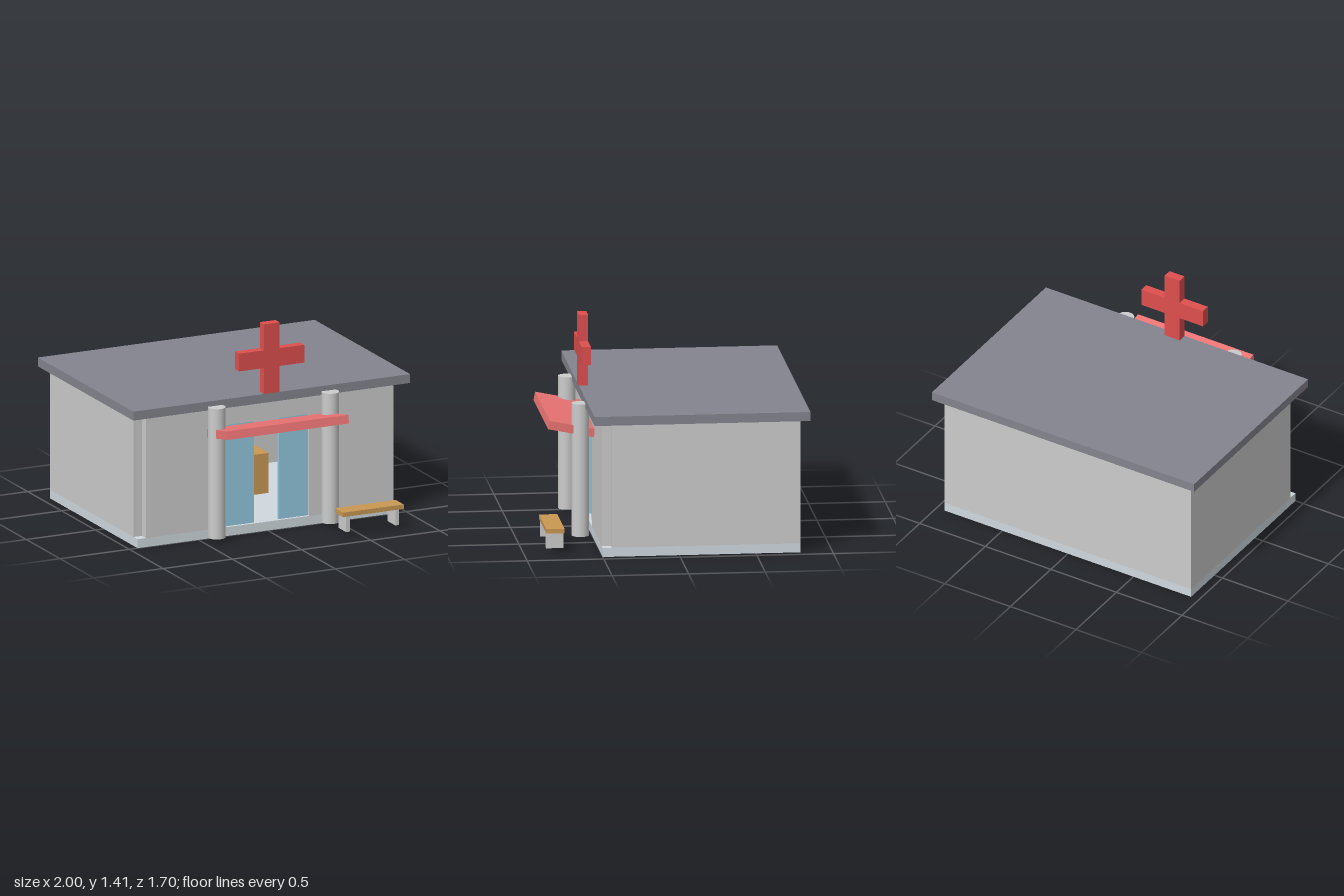
import * as THREE from 'three';

const mat = (color) => new THREE.MeshStandardMaterial({ color });

export function createModel() {
  const model = new THREE.Group();
  const grey = mat(0xcccccc), stone = mat(0xd0d9df), slate = mat(0x84848e);
  const red = mat(0xdf4f4f), coral = mat(0xec7474), glass = mat(0x92c9de), wood = mat(0xc99854);

  // box given by its extents along x, y and z
  function box(name, material, [x0, x1], [y0, y1], [z0, z1], parent = model) {
    const mesh = new THREE.Mesh(new THREE.BoxGeometry(x1 - x0, y1 - y0, z1 - z0), material);
    mesh.position.set((x0 + x1) / 2, (y0 + y1) / 2, (z0 + z1) / 2);
    mesh.name = name;
    parent.add(mesh);
    return mesh;
  }

  // floor slab and overhanging roof
  box('base', stone, [-0.94, 0.94], [0, 0.06], [-0.79, 0.5]);
  box('roof', slate, [-1, 1], [0.885, 0.945], [-0.85, 0.56]);

  // back and side walls; the front corners stay notched
  box('backWall', grey, [-0.94, 0.94], [0.06, 0.885], [-0.79, -0.73]);
  for (const s of [-1, 1]) {
    const x = s > 0 ? [0.88, 0.94] : [-0.94, -0.88];
    box('sideWall', grey, x, [0.06, 0.885], [-0.73, 0.44]);
  }

  // front wall around the entrance
  const front = new THREE.Shape();
  [[-0.88, 0.06], [-0.3, 0.06], [-0.3, 0.75], [0.3, 0.75], [0.3, 0.06],
    [0.88, 0.06], [0.88, 0.885], [-0.88, 0.885]]
    .forEach(([x, y], i) => (i ? front.lineTo(x, y) : front.moveTo(x, y)));
  const frontWall = new THREE.Mesh(
    new THREE.ExtrudeGeometry(front, { depth: 0.06, bevelEnabled: false }), grey);
  frontWall.position.z = 0.44;
  frontWall.name = 'frontWall';
  model.add(frontWall);

  // half-open sliding glass doors
  box('leftDoor', glass, [0.09, 0.3], [0.06, 0.75], [0.46, 0.48]);
  box('rightDoor', glass, [-0.3, -0.09], [0.06, 0.75], [0.46, 0.48]);

  // interior: desk, post and a framed door at the back
  box('desk', wood, [0, 0.3], [0.06, 0.33], [-0.3, -0.1]);
  box('post', grey, [-0.42, -0.38], [0.06, 0.885], [-0.08, -0.04]);
  box('innerDoor', glass, [-0.19, 0.055], [0.075, 0.63], [-0.73, -0.71]);
  box('innerDoorFrame', grey, [0.055, 0.085], [0.06, 0.65], [-0.73, -0.7]);
  box('innerDoorFrame', grey, [-0.22, -0.19], [0.06, 0.65], [-0.73, -0.7]);
  box('innerDoorFrame', grey, [-0.19, 0.055], [0.63, 0.65], [-0.73, -0.7]);

  // tilted canopy
  const canopy = box('canopy', coral, [-0.44, 0.44], [-0.028, 0.028], [-0.152, 0.152]);
  canopy.position.set(0, 0.743, 0.648);
  canopy.rotation.x = -0.2;

  // entrance columns
  for (const s of [-1, 1]) {
    const column = new THREE.Mesh(new THREE.CylinderGeometry(0.057, 0.057, 0.88, 32), grey);
    column.position.set(s * 0.41, 0.47, 0.588);
    column.name = 'column';
    model.add(column);
  }

  // plus-shaped roof sign
  const sign = new THREE.Group();
  sign.name = 'roofSign';
  model.add(sign);
  box('signUpright', red, [-0.057, 0.057], [0.945, 1.415], [0.5, 0.56], sign);
  box('signArm', red, [-0.235, -0.057], [1.12, 1.24], [0.5, 0.56], sign);
  box('signArm', red, [0.057, 0.235], [1.12, 1.24], [0.5, 0.56], sign);

  // bench
  const bench = new THREE.Group();
  bench.name = 'bench';
  model.add(bench);
  box('benchSeat', wood, [0.37, 0.81], [0.135, 0.165], [0.735, 0.855], bench);
  for (const x of [0.395, 0.75]) {
    box('benchLeg', grey, [x, x + 0.028], [0.03, 0.135], [0.738, 0.852], bench);
  }
  return model;
}
